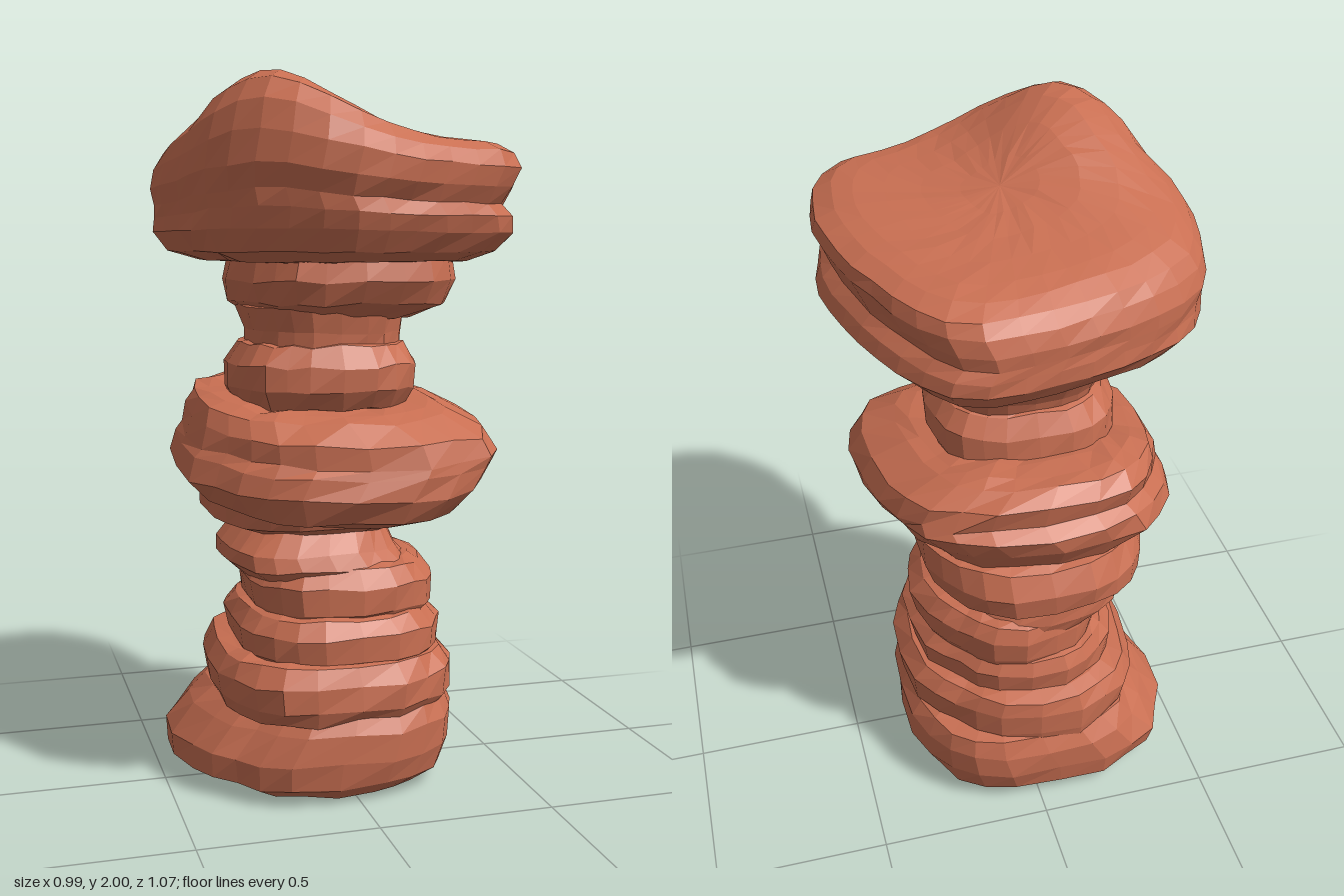
import * as THREE from 'three';

// Small seeded random source, -1 to 1
function seeded(seed) {
  return () => {
    seed = (seed * 1664525 + 1013904223) % 4294967296;
    return seed / 2147483648 - 1;
  };
}

// Unit plan of a weathered block: a squarish rounded outline
function blockPlan(angle) {
  const c = Math.cos(angle), s = Math.sin(angle), p = 2 / 2.6;
  return [Math.sign(c) * Math.abs(c) ** p, Math.sign(s) * Math.abs(s) ** p];
}

// Plan of the capstone, sampled round a skewed outline (x, z)
const capOutline = new THREE.CatmullRomCurve3([
  [0.49, 0.08], [0.475, 0.25], [0.44, 0.34], [0.37, 0.4], [0.2, 0.46], [0.04, 0.51], [-0.08, 0.53],
  [-0.2, 0.48], [-0.3, 0.42], [-0.41, 0.26], [-0.45, 0.1], [-0.5, -0.05], [-0.475, -0.24], [-0.41, -0.36],
  [-0.22, -0.46], [-0.04, -0.51], [0.18, -0.53], [0.28, -0.49], [0.34, -0.4], [0.41, -0.25], [0.46, -0.1],
].map(([x, z]) => new THREE.Vector3(x, 0, z)), true);
function capPlan(angle) {
  const p = capOutline.getPointAt(angle / (2 * Math.PI));
  return [p.x / 0.495, p.z / 0.53];
}

// Closed faceted slab lofted through rings [y, left x, right x, back z, front z];
// lift(x, z, t) raises points, with t running from 0 at the bottom ring to 1 at the top;
// corners lists [x sign, z sign, amount] to push a corner out or wear it away
function slab(rings, { seed, plan = blockPlan, sides = 24, rough = 0.01, corners = [], lift = () => 0 }) {
  const rnd = seeded(seed * 7919 + 17);
  for (let i = 0; i < 5; i++) rnd();
  const shrink = ([y, x0, x1, z0, z1], k, dy) => {
    const cx = (x0 + x1) / 2, cz = (z0 + z1) / 2;
    return [y + dy, cx + (x0 - cx) * k, cx + (x1 - cx) * k, cz + (z0 - cz) * k, cz + (z1 - cz) * k];
  };
  const first = rings[0], last = rings[rings.length - 1];
  const all = [
    shrink(first, 0.4, -0.008), shrink(first, 0.75, -0.005), ...rings,
    shrink(last, 0.87, 0.01), shrink(last, 0.68, 0.015), shrink(last, 0.46, 0.017), shrink(last, 0.23, 0.018),
  ];
  const columns = Array.from({ length: sides }, () => rnd() * rough);
  const pos = [], index = [];
  const y0 = first[0], y1 = last[0];
  const add = (x, y, z) => {
    const t = THREE.MathUtils.clamp((y - y0) / (y1 - y0), 0, 1);
    pos.push(x, y + lift(x, z, t), z);
  };
  for (const [y, xa, xb, za, zb] of all) {
    for (let i = 0; i < sides; i++) {
      const angle = (i / sides) * Math.PI * 2;
      const [u, v] = plan(angle);
      let bump = 1.008 + (columns[i] + rnd() * rough) * 1.8;
      for (const [sx, sz, amount] of corners) {
        const facing = (Math.cos(angle) * sx + Math.sin(angle) * sz) / Math.SQRT2;
        bump += amount * Math.max(0, facing) ** 6;
      }
      add((xa + xb) / 2 + u * bump * (xb - xa) / 2, y + rnd() * rough * 0.6,
        (za + zb) / 2 + v * bump * (zb - za) / 2);
    }
  }
  // Walls between rings
  for (let r = 0; r < all.length - 1; r++) {
    for (let i = 0; i < sides; i++) {
      const j = (i + 1) % sides, a = r * sides + i, b = r * sides + j;
      index.push(a, a + sides, b, b, a + sides, b + sides);
    }
  }
  // Centre fans close both ends
  const base = all.length * sides, top = base - sides;
  for (const r of [all[0], all[all.length - 1]]) add((r[1] + r[2]) / 2, r[0], (r[3] + r[4]) / 2);
  for (let i = 0; i < sides; i++) {
    const j = (i + 1) % sides;
    index.push(base, i, j, base + 1, top + j, top + i);
  }
  const g = new THREE.BufferGeometry();
  g.setAttribute('position', new THREE.Float32BufferAttribute(pos, 3));
  g.setIndex(index);
  const faceted = g.toNonIndexed();
  faceted.computeVertexNormals();
  return faceted;
}

export function createModel() {
  const group = new THREE.Group();
  group.name = 'rockPillar';
  const stone = new THREE.MeshStandardMaterial({ color: 0xc96f52 });
  stone.name = 'red sandstone';
  const layer = (name, rings, options) => {
    const mesh = new THREE.Mesh(slab(rings, options), stone);
    mesh.name = name;
    group.add(mesh);
  };

  // Footing
  layer('base', [
    [0.015, -0.36, 0.24, -0.38, 0.3], [0.05, -0.46, 0.33, -0.44, 0.345], [0.12, -0.47, 0.355, -0.45, 0.35],
    [0.2, -0.4, 0.355, -0.45, 0.345], [0.255, -0.34, 0.33, -0.43, 0.32],
  ], { seed: 1, corners: [[-1, 1, -0.11]] });

  // Stepped lower strata: [bottom, top, left x, right x, back z, front z, wear of back left corner]
  [
    [0.23, 0.39, -0.355, 0.355, -0.44, 0.34, -0.13],
    [0.36, 0.51, -0.285, 0.315, -0.39, 0.295, -0.17],
    [0.48, 0.64, -0.25, 0.31, -0.37, 0.245, -0.17],
  ].forEach(([a, b, x0, x1, z0, z1, wear], i) => {
    const h = b - a;
    layer('lowerStratum' + (i + 1), [
      [a, x0 + 0.03, x1 - 0.04, z0 + 0.015, z1 - 0.025], [a + h * 0.25, x0 + 0.01, x1 - 0.01, z0 + 0.005, z1],
      [a + h * 0.7, x0, x1, z0, z1], [b, x0 + 0.03, x1 - 0.04, z0 + 0.015, z1 - 0.03],
    ], { seed: i + 2, corners: [[1, -1, wear], [-1, 1, 0.06]] });
  });

  // Narrow lower neck
  layer('lowerNeck', [
    [0.59, -0.24, 0.25, -0.35, 0.18], [0.64, -0.31, 0.23, -0.365, 0.215],
    [0.68, -0.31, 0.19, -0.36, 0.2], [0.76, -0.24, 0.16, -0.35, 0.15],
  ], { seed: 6, corners: [[1, -1, -0.14], [-1, 1, 0.05]] });

  // Ledge under the middle boulder, pushed to the back
  layer('middleLedge', [
    [0.735, -0.26, 0.21, -0.38, 0.15], [0.765, -0.345, 0.28, -0.44, 0.21], [0.83, -0.355, 0.3, -0.45, 0.24],
    [0.9, -0.34, 0.3, -0.42, 0.26],
  ], { seed: 7, corners: [[1, -1, -0.06], [-1, 1, 0.05]] });

  // Middle boulder, rising towards the back
  layer('middleBoulder', [
    [0.82, -0.3, 0.24, -0.36, 0.3], [0.86, -0.4, 0.3, -0.4, 0.41], [0.93, -0.46, 0.36, -0.44, 0.44],
    [0.985, -0.44, 0.41, -0.445, 0.43], [1.015, -0.42, 0.415, -0.42, 0.42], [1.07, -0.41, 0.385, -0.425, 0.41],
    [1.115, -0.385, 0.29, -0.38, 0.34],
  ], { seed: 8, rough: 0.012, corners: [[1, 1, 0.12], [-1, 1, -0.08], [1, -1, -0.03]], lift: (x, z) => -0.12 * z });

  // Upper neck in two blocks
  layer('upperNeckBlock', [
    [1.1, -0.27, 0.2, -0.22, 0.25], [1.15, -0.3, 0.22, -0.24, 0.28], [1.22, -0.3, 0.225, -0.235, 0.28],
    [1.275, -0.265, 0.19, -0.2, 0.25],
  ], { seed: 9 });
  layer('upperNeck', [
    [1.25, -0.25, 0.175, -0.18, 0.24], [1.31, -0.25, 0.18, -0.2, 0.245], [1.38, -0.27, 0.19, -0.24, 0.26],
  ], { seed: 10 });

  // Collar that carries the capstone
  layer('collar', [
    [1.35, -0.23, 0.2, -0.21, 0.23], [1.39, -0.28, 0.29, -0.28, 0.3], [1.45, -0.3, 0.315, -0.31, 0.33],
    [1.53, -0.28, 0.3, -0.3, 0.32],
  ], { seed: 11, corners: [[1, 1, 0.08]] });

  // Capstone with a grooved rim and a hump at its front right
  layer('capstone', [
    [1.505, -0.36, 0.36, -0.4, 0.39], [1.53, -0.44, 0.44, -0.49, 0.45], [1.58, -0.48, 0.49, -0.525, 0.485],
    [1.62, -0.475, 0.475, -0.525, 0.505], [1.65, -0.48, 0.445, -0.52, 0.5], [1.69, -0.488, 0.465, -0.525, 0.525],
    [1.735, -0.478, 0.49, -0.51, 0.525], [1.77, -0.455, 0.48, -0.485, 0.5], [1.792, -0.41, 0.43, -0.435, 0.455],
  ], {
    seed: 12, plan: capPlan, sides: 36, rough: 0.004,
    lift: (x, z, t) => t * t * (0.17 * Math.exp(-(((x + 0.24) / 0.23) ** 2) - ((z - 0.25) / 0.33) ** 2) + 0.045 * z + 0.015),
  });

  return group;
}
